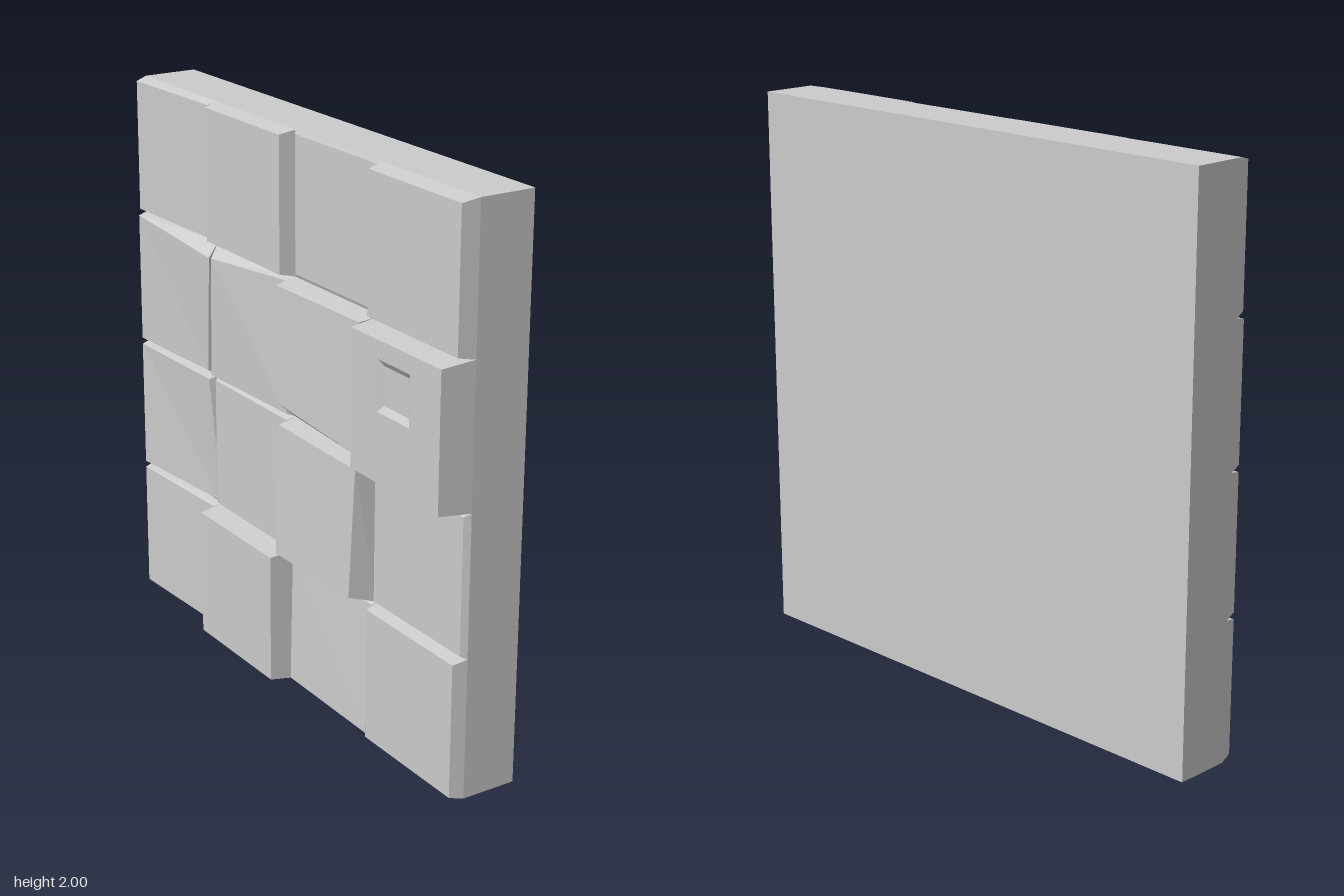
import * as THREE from 'three';

const material = new THREE.MeshStandardMaterial({ color: 0xcccccc, flatShading: true });
const BASE = -0.04; // plane of the slab on which the tiles sit
const CELL = 0.5;

// Skin a stack of four-cornered rings (counter-clockwise seen from -x) and cap the last one.
function skinRings(rings) {
  const pos = [];
  const quad = (a, b, c, d) => pos.push(...a, ...b, ...c, ...a, ...c, ...d);
  for (let r = 0; r < rings.length - 1; r++) {
    const lower = rings[r], upper = rings[r + 1];
    for (let i = 0; i < 4; i++) {
      const j = (i + 1) % 4;
      quad(lower[i], lower[j], upper[j], upper[i]);
    }
  }
  quad(...rings[rings.length - 1]);
  const geo = new THREE.BufferGeometry();
  geo.setAttribute('position', new THREE.Float32BufferAttribute(pos, 3));
  geo.computeVertexNormals();
  return geo;
}

// Rectangle ring: top left, bottom left, bottom right, top right.
// x holds one depth per corner; shift holds optional [dy, dz] corner offsets.
function ring(z0, z1, y0, y1, x, shift = {}) {
  const corners = [[y1, z0], [y0, z0], [y0, z1], [y1, z1]];
  return corners.map(([y, z], i) => {
    const [dy, dz] = shift[i] || [0, 0];
    return [x[i], y + dy, z + dz];
  });
}

const flat = (x) => [x, x, x, x];

// Face depth of every tile, rows from the top, columns from -z to +z.
const depths = [
  [[-0.085, -0.085, -0.07, -0.07], flat(-0.095), flat(-0.045), flat(-0.1)],
  [[-0.09, -0.09, -0.09, -0.103], [-0.1, -0.085, -0.07, -0.07], [-0.125, -0.125, -0.115, -0.115], flat(-0.16)],
  [[-0.09, -0.09, -0.05, -0.08], flat(-0.068), [-0.115, -0.13, -0.14, -0.125], flat(-0.062)],
  [[-0.09, -0.09, -0.07, -0.07], flat(-0.138), [-0.06, -0.07, -0.075, -0.055], flat(-0.09)],
];

// Corners knocked out of square, keyed by row and column.
const shifts = {
  '1,0': { 3: [-0.03, 0.05], 2: [0.015, 0.01] },
  '1,1': { 0: [-0.03, 0.035] },
  '1,2': { 1: [0.06, 0], 2: [0.02, 0] },
  '2,2': { 2: [0.02, -0.01] },
};

export function createModel() {
  const group = new THREE.Group();
  group.name = 'wallPanel';

  // Backing slab
  const slab = new THREE.Mesh(new THREE.BoxGeometry(0.2, 2, 2), material);
  slab.name = 'slab';
  slab.position.set(0.06, 1, 0);
  group.add(slab);

  // Uneven stone tiles, each tapering out of the slab
  const tiles = new THREE.Group();
  tiles.name = 'tiles';
  group.add(tiles);
  depths.forEach((row, r) => row.forEach((x, c) => {
    const z0 = -1 + c * CELL, z1 = z0 + CELL;
    const y1 = 2 - r * CELL, y0 = y1 - CELL;
    const inset = 0.012;
    const rings = [
      ring(z0, z1, y0, y1, flat(BASE)),
      ring(z0 + inset, z1 - inset, y0 + inset, y1 - inset, x, shifts[`${r},${c}`]),
    ];
    // Small square recess in the most prominent tile
    if (r === 1 && c === 3) {
      rings.push(ring(0.655, 0.83, 1.25, 1.425, flat(-0.16)));
      rings.push(ring(0.677, 0.808, 1.272, 1.403, flat(-0.145)));
    }
    const tile = new THREE.Mesh(skinRings(rings), material);
    tile.name = `tileRow${r + 1}Column${c + 1}`;
    tiles.add(tile);
  }));

  return group;
}
